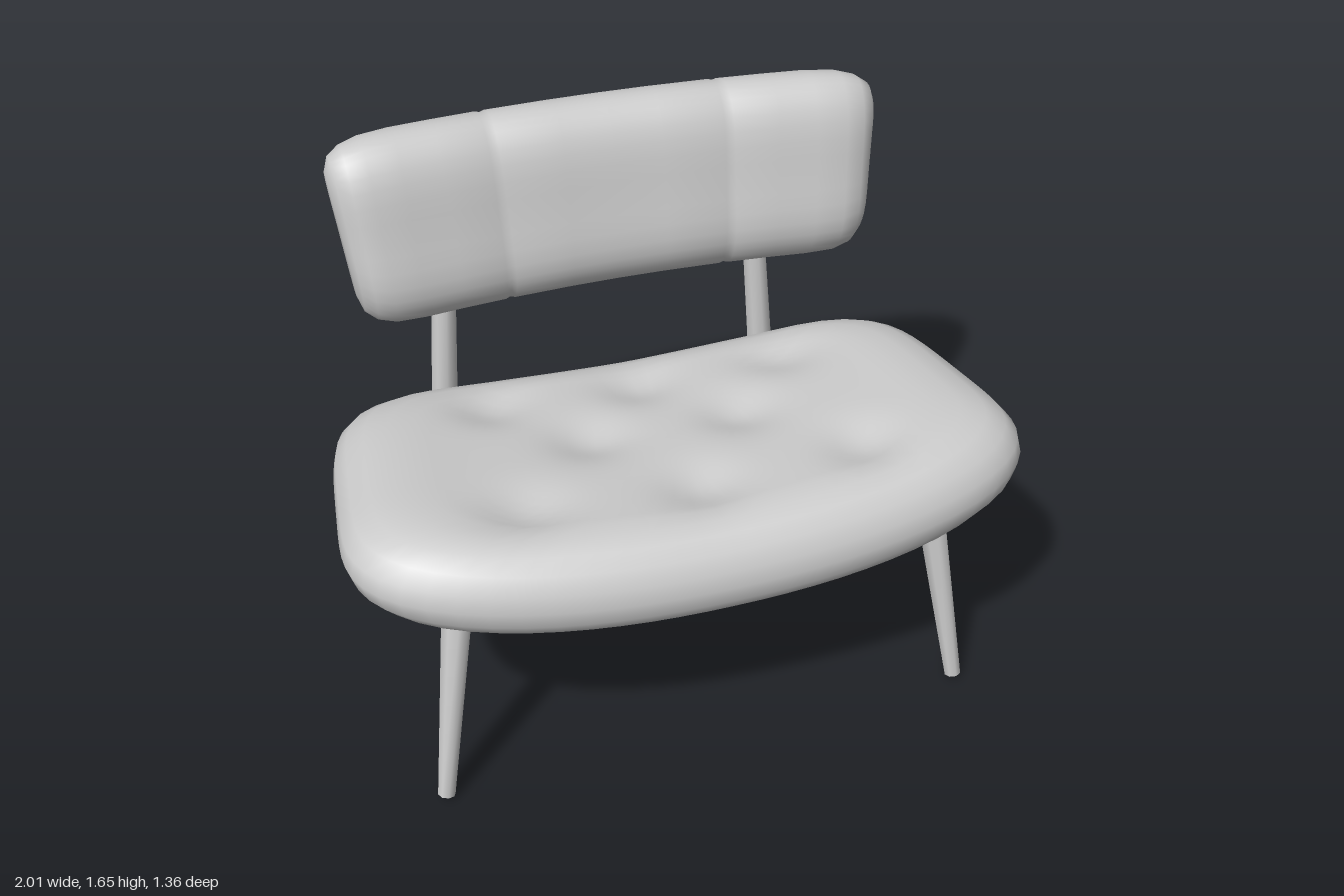
import * as THREE from 'three';
import { toCreasedNormals } from 'three/addons/utils/BufferGeometryUtils.js';

const material = new THREE.MeshStandardMaterial({ color: 0xcccccc });

// Closed skin over a list of equal-length rings of [x, y, z], capped at both ends.
function loft(rings, crease = 0.7) {
  const n = rings[0].length, m = rings.length, idx = [];
  const pts = rings.flat();
  for (let i = 0; i < m - 1; i++) for (let j = 0; j < n; j++) {
    const a = i * n + j, b = i * n + (j + 1) % n;
    idx.push(a, a + n, b, b, a + n, b + n);
  }
  for (const [r, flip] of [[0, false], [m - 1, true]]) {
    const c = pts.length;
    pts.push([0, 1, 2].map(k => rings[r].reduce((s, p) => s + p[k], 0) / n));
    for (let j = 0; j < n; j++) {
      const a = r * n + j, b = r * n + (j + 1) % n;
      if (flip) idx.push(c, b, a); else idx.push(c, a, b);
    }
  }
  const g = new THREE.BufferGeometry();
  g.setAttribute('position', new THREE.Float32BufferAttribute(pts.flat(), 3));
  g.setIndex(idx);
  return toCreasedNormals(g, crease);
}

function part(name, geometry, parent) {
  const mesh = new THREE.Mesh(geometry, material);
  mesh.name = name;
  parent.add(mesh);
  return mesh;
}

// Tapered round leg or spar between two points.
function spar(name, from, to, rFrom, rTo, parent) {
  const a = new THREE.Vector3(...from), b = new THREE.Vector3(...to);
  const d = b.clone().sub(a);
  const mesh = part(name, toCreasedNormals(new THREE.CylinderGeometry(rTo, rFrom, d.length(), 8), 0.9), parent);
  mesh.position.copy(a).add(b).multiplyScalar(0.5);
  mesh.quaternion.setFromUnitVectors(new THREE.Vector3(0, 1, 0), d.normalize());
}

// Flat rail between two points.
function rail(name, from, to, thick, high, parent) {
  const a = new THREE.Vector3(...from), b = new THREE.Vector3(...to);
  const mesh = part(name, new THREE.BoxGeometry(thick, high, a.distanceTo(b)), parent);
  mesh.position.copy(a).add(b).multiplyScalar(0.5);
  mesh.lookAt(b);
}

// Tufted seat cushion: a rounded outline stacked from underside to crown.
function seatGeometry() {
  const buttons = [[-0.46, -0.2], [0, -0.2], [0.46, -0.2], [-0.23, 0.06], [0.23, 0.06],
    [-0.5, 0.37], [0, 0.39], [0.5, 0.37]];
  const profile = [[0.05, 0], [0.5, 0], [0.89, 0], [0.95, 0.07], [0.985, 0.2], [1, 0.38], [0.99, 0.56],
    [0.955, 0.74], [0.9, 0.88], [0.83, 0.96], [0.75, 1]];
  for (let s = 0.7; s > 0.01; s -= 0.04) profile.push([s, 1]);
  const count = 80;
  return loft(profile.map(([s, t]) => Array.from({ length: count }, (_, j) => {
    const q = j / count * Math.PI * 2, c = Math.cos(q), w = Math.sin(q);
    const n = 4.2 - 1.6 * w;
    const r = s / Math.pow(Math.abs(c) ** n + Math.abs(w) ** n, 1 / n);
    // Front and rear faces lean inward toward the crown
    const v = r * w * (1 - 0.07 * t * t);
    const x = 0.985 * r * c * (1 + 0.07 * v), z = 0.11 + 0.575 * v;
    const bottom = 0.6 + 0.08 * x * x + 0.03 * z;
    let top = 0.85 + 0.088 * x * x + 0.055 * z;
    for (const [bx, bz] of buttons) top -= 0.035 * Math.exp(-((x - bx) ** 2 + (z - bz) ** 2) / 0.012);
    return [x, bottom + (top - bottom) * t, z];
  })), 1.2);
}

// Backrest shapes share one sweep along x, wrapping forward and widening upward.
function sweepBack(section, stations) {
  return stations.map(([x, inset]) => section.map(([z, y]) => [
    x * (1 + 0.1 * (y - 1.36)),
    1.363 + (y - 1.363) * (1 - inset / 0.28),
    -0.51 + (z + 0.51) * (1 - inset / 0.15) + 0.057 * Math.min(1, Math.abs(x) / 0.75) ** 2,
  ]));
}

function backrestGeometry() {
  const key = [[-0.342, 1.19], [-0.37, 1.38], [-0.42, 1.57], [-0.49, 1.64], [-0.59, 1.625],
    [-0.672, 1.54], [-0.615, 1.34], [-0.558, 1.16], [-0.495, 1.083], [-0.39, 1.1]];
  const section = new THREE.CatmullRomCurve3(key.map(([z, y]) => new THREE.Vector3(z, y, 0)), true)
    .getPoints(40).slice(0, -1).map(p => [p.x, p.y]);
  const half = [[0.15, 0], [0.335, 0], [0.35, 0.004], [0.365, 0], [0.5, 0], [0.62, 0], [0.71, 0.005],
    [0.765, 0.02], [0.8, 0.045], [0.815, 0.085]];
  const stations = [...half.map(([x, d]) => [-x, d]).reverse(), [0, 0], ...half];
  return loft(sweepBack(section, stations), 1);
}

export function createModel() {
  const chair = new THREE.Group();
  chair.name = 'loungeChair';

  part('seatCushion', seatGeometry(), chair);
  part('backrestCushion', backrestGeometry(), chair);

  // Thin board closing the rear of the backrest
  const board = [[-0.54, 1.16], [-0.65, 1.53], [-0.68, 1.53], [-0.57, 1.16]];
  const xs = Array.from({ length: 17 }, (_, i) => [-0.72 + i * 0.09, 0]);
  part('backrestBoard', loft(sweepBack(board, xs)), chair);

  for (const side of [-1, 1]) {
    spar('frontLeg', [side * 0.81, 0.01, 0.49], [side * 0.71, 0.67, 0.39], 0.026, 0.046, chair);
    // Rear legs run up to carry the backrest
    spar('rearLegLower', [side * 0.59, 0, -0.54], [side * 0.545, 0.55, -0.535], 0.028, 0.043, chair);
    spar('rearLegUpper', [side * 0.545, 0.55, -0.535], [side * 0.495, 1.26, -0.565], 0.043, 0.036, chair);
    rail('sideRail', [side * 0.7, 0.58, 0.37], [side * 0.55, 0.51, -0.51], 0.05, 0.1, chair);
  }
  rail('frontRail', [-0.68, 0.57, 0.34], [0.68, 0.57, 0.34], 0.05, 0.06, chair);
  rail('rearRail', [-0.55, 0.53, -0.42], [0.55, 0.53, -0.42], 0.05, 0.05, chair);

  return chair;
}
